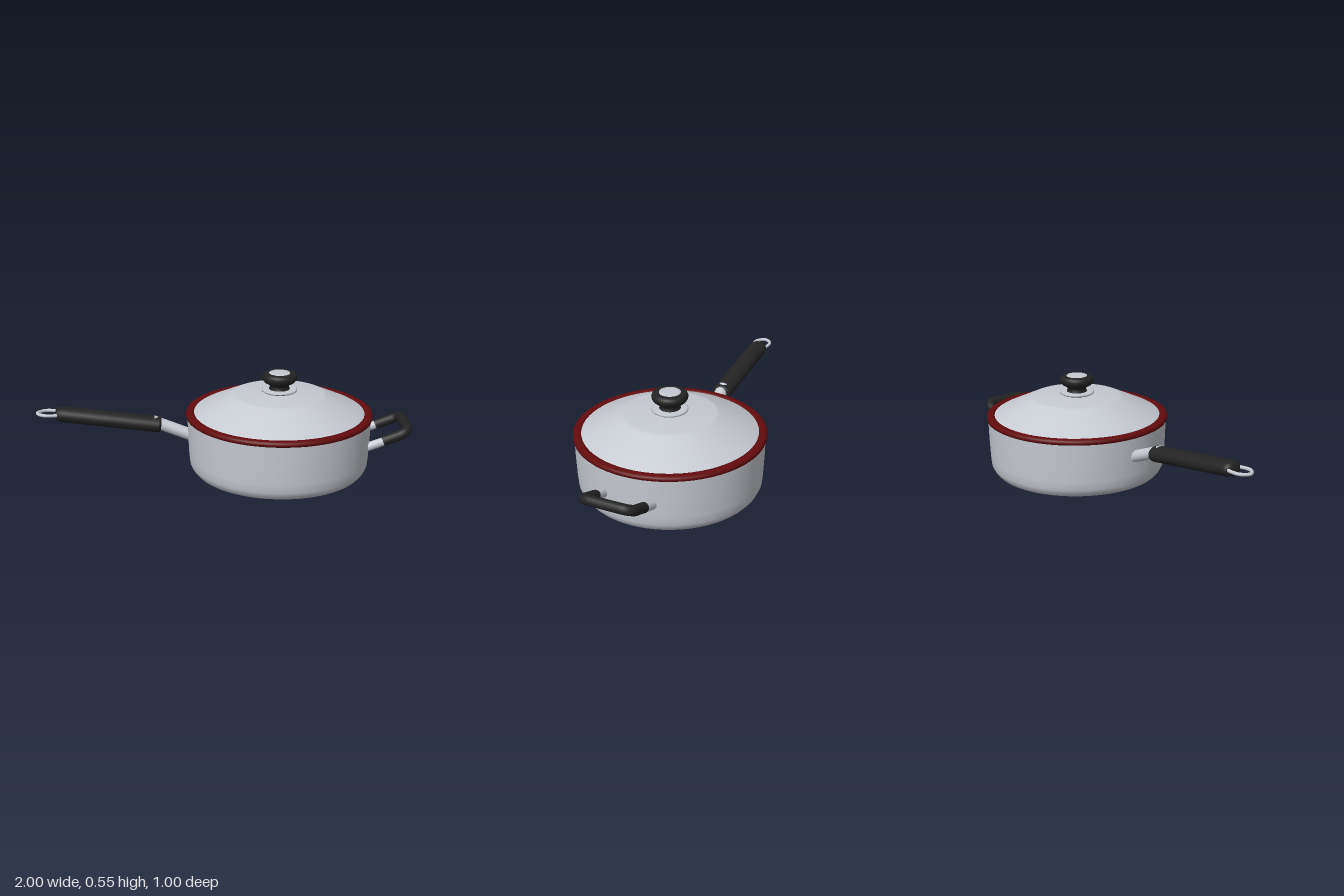
import * as THREE from 'three';

const mat = (name, color) => {
  const m = new THREE.MeshStandardMaterial({ color });
  m.name = name;
  return m;
};
const v = (x, y, z) => new THREE.Vector3(x, y, z);

export function createModel() {
  const steel = mat('brushed steel', 0xc6cad1);
  const red = mat('dark red', 0x620b0e);
  const black = mat('black grip', 0x232323);

  const model = new THREE.Group();
  model.name = 'saucepan';

  const add = (parent, name, geometry, material) => {
    const mesh = new THREE.Mesh(geometry, material);
    mesh.name = name;
    parent.add(mesh);
    return mesh;
  };
  const lathe = (points, segments = 64) =>
    new THREE.LatheGeometry(points.map(p => new THREE.Vector2(...p)), segments);
  // Turned part whose axis runs from point a to point b
  const turned = (name, a, b, profile, material) => {
    const mesh = add(model, name, lathe(profile(a.distanceTo(b)), 24), material);
    mesh.position.copy(a);
    mesh.quaternion.setFromUnitVectors(v(0, 1, 0), b.clone().sub(a).normalize());
    return mesh;
  };
  const rod = r => L => [[0, 0], [r, 0], [r, 0], [r, L], [r, L], [0, L]];

  // Pan and lid share one vertical axis
  const pan = new THREE.Group();
  pan.name = 'panAndLid';
  pan.position.x = 0.295;
  model.add(pan);

  add(pan, 'panBody', lathe([
    [0, 0], [0.35, 0], [0.38, 0.002], [0.45, 0.012], [0.466, 0.03],
    [0.478, 0.055], [0.482, 0.1], [0.487, 0.2], [0.49, 0.31],
  ]), steel);

  add(pan, 'lidRim', lathe([
    [0.45, 0.306], [0.488, 0.306], [0.496, 0.311], [0.498, 0.32],
    [0.496, 0.329], [0.488, 0.335], [0.465, 0.336], [0.455, 0.332], [0.45, 0.32],
  ]), red);

  add(pan, 'lid', lathe([
    [0.465, 0.325], [0.44, 0.34], [0.35, 0.382], [0.255, 0.426],
    [0.235, 0.431], [0.09, 0.444], [0, 0.446],
  ]), steel);

  // Knob: steel washer, black mushroom grip, steel cap
  add(pan, 'knobSeat', lathe([[0.088, 0.44], [0.088, 0.447]], 40), black);
  add(pan, 'knobWasher', lathe([
    [0.088, 0.447], [0.093, 0.447], [0.093, 0.455], [0.088, 0.457], [0, 0.457],
  ], 40), steel);
  add(pan, 'knobGrip', lathe([
    [0.056, 0.455], [0.052, 0.465], [0.05, 0.474], [0.06, 0.485], [0.08, 0.496],
    [0.091, 0.51], [0.094, 0.524], [0.089, 0.537], [0.078, 0.544], [0.058, 0.544], [0, 0.541],
  ], 40), black);
  add(pan, 'knobCap', lathe([
    [0.057, 0.541], [0.055, 0.546], [0.04, 0.547], [0, 0.547],
  ], 32), steel);

  // Long handle
  turned('handleShank', v(-0.16, 0.195, 0), v(-0.38, 0.282, 0), rod(0.032), steel)
    .scale.z = 1.08;
  turned('handleGrip', v(-0.335, 0.261, 0), v(-0.895, 0.331, 0), L => [
    [0, 0], [0.03, 0], [0.039, 0.005], [0.042, 0.015], [0.042, L / 2],
    [0.041, L - 0.035], [0.037, L - 0.013], [0.026, L], [0, L],
  ], black).scale.z = 1.3;

  // Hanging loop at the end of the long handle
  const loopPath = new THREE.CatmullRomCurve3([
    v(-0.86, 0.33, -0.03), v(-0.91, 0.332, -0.044), v(-0.96, 0.333, -0.04),
    v(-0.991, 0.333, 0),
    v(-0.96, 0.333, 0.04), v(-0.91, 0.332, 0.044), v(-0.86, 0.33, 0.03),
  ]);
  add(model, 'hangingLoop', new THREE.TubeGeometry(loopPath, 40, 0.009, 10), steel);

  // Helper handle: two steel studs and a bent black grip
  for (const s of [-1, 1]) {
    turned('helperStud', v(0.755, 0.169, s * 0.133), v(0.86, 0.207, s * 0.133), rod(0.023), steel);
    turned('helperGripEnd', v(0.838, 0.2, s * 0.131), v(0.85, 0.205, s * 0.131), rod(0.027), black);
  }
  const grip = new THREE.CurvePath();
  const corner = s => [v(0.925, 0.233, s * 0.131), v(0.972, 0.257, s * 0.131), v(0.972, 0.257, s * 0.075)];
  const [a, b, c] = corner(1), [d, e, f] = corner(-1);
  grip.add(new THREE.LineCurve3(v(0.845, 0.204, 0.131), a));
  grip.add(new THREE.QuadraticBezierCurve3(a, b, c));
  grip.add(new THREE.LineCurve3(c, f));
  grip.add(new THREE.QuadraticBezierCurve3(f, e, d));
  grip.add(new THREE.LineCurve3(d, v(0.845, 0.204, -0.131)));
  add(model, 'helperGrip', new THREE.TubeGeometry(grip, 60, 0.027, 16), black);

  return model;
}
